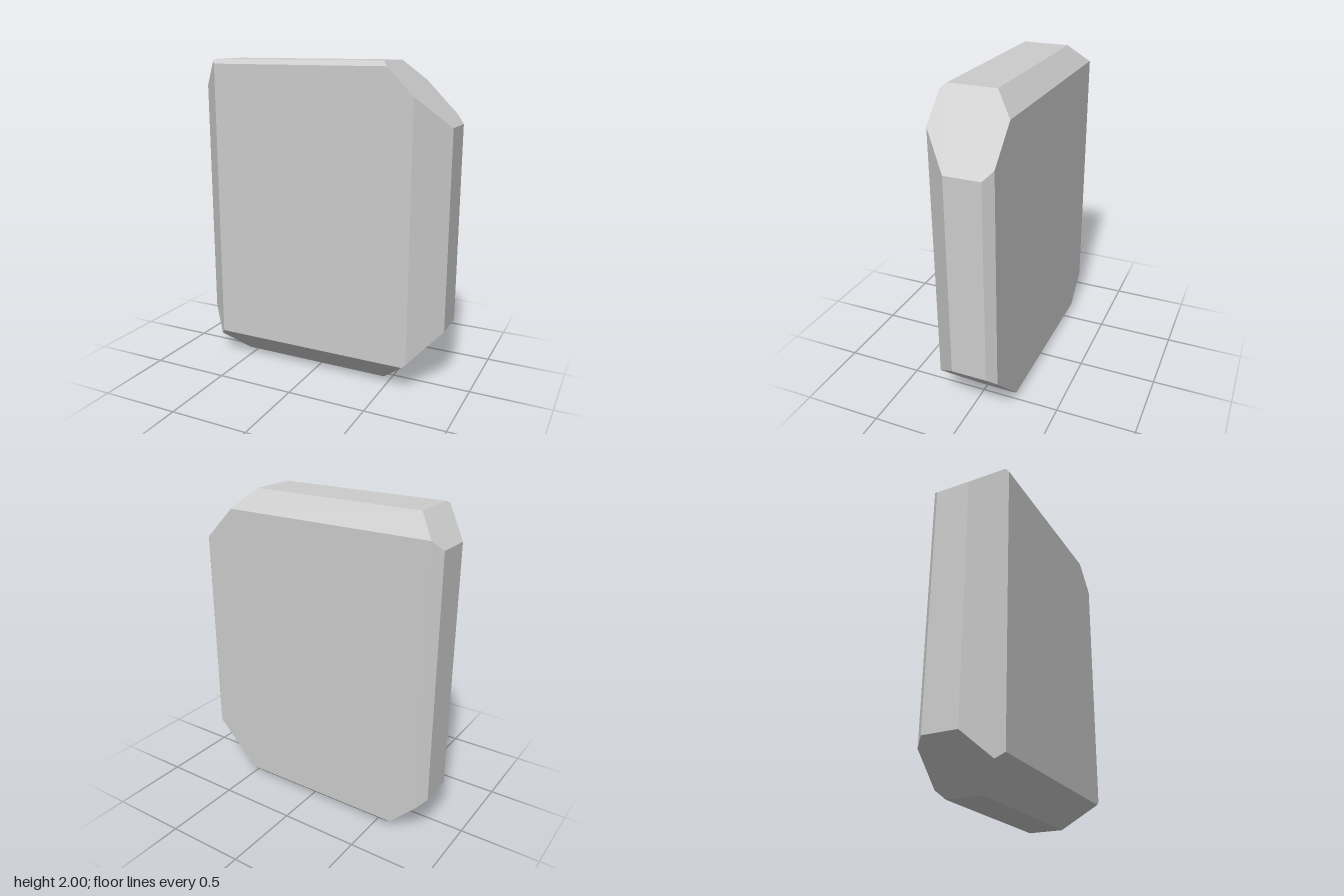
import * as THREE from 'three';
import { ConvexGeometry } from 'three/addons/geometries/ConvexGeometry.js';

// Convex solid bounded by half-spaces a*x + b*y + c*z <= d
function solidFromCuts(cuts) {
  const points = [];
  const inside = (p) => cuts.every(([a, b, c, d]) => a * p.x + b * p.y + c * p.z <= d + 1e-6);
  const m = new THREE.Matrix3();
  for (let i = 0; i < cuts.length; i++)
    for (let j = i + 1; j < cuts.length; j++)
      for (let k = j + 1; k < cuts.length; k++) {
        const [p, q, r] = [cuts[i], cuts[j], cuts[k]];
        m.set(p[0], p[1], p[2], q[0], q[1], q[2], r[0], r[1], r[2]);
        if (Math.abs(m.determinant()) < 1e-6) continue;
        const corner = new THREE.Vector3(p[3], q[3], r[3]).applyMatrix3(m.invert());
        if (inside(corner) && !points.some((o) => o.distanceTo(corner) < 1e-4)) points.push(corner);
      }
  return new ConvexGeometry(points);
}

export function createModel() {
  const group = new THREE.Group();
  group.name = 'chamferedSlab';

  const cuts = [
    // box faces
    [1, 0, 0, 0.835], [-1, 0, 0, 0.835],
    [0, 1, 0, 2], [0, -1, 0, 0],
    [0, 0, 1, 0.225], [0, 0, -1, 0.225],
    // corner bevels of the outline: top left, top right, bottom left, bottom right
    [1, 1, 0, 2.463], [-1, 1, 0, 2.66],
    [1, -1, 0, 0.45], [-1, -1, 0, 0.562],
    // upright edge bevels: front pair, back pair
    [1, 0, 1, 0.88], [-1, 0, 1, 0.883],
    [1, 0, -1, 1.01], [-1, 0, -1, 1.01],
    // top and bottom edge bevels: front top, back top, front bottom, back bottom
    [0, 1, 1, 2.195], [0, 1, -1, 2.105],
    [0, -1, 1, 0.045], [0, -1, -1, 0.18],
  ];

  const material = new THREE.MeshStandardMaterial({ color: 0xcccccc, flatShading: true });
  const slab = new THREE.Mesh(solidFromCuts(cuts), material);
  slab.name = 'slab';
  group.add(slab);
  return group;
}
